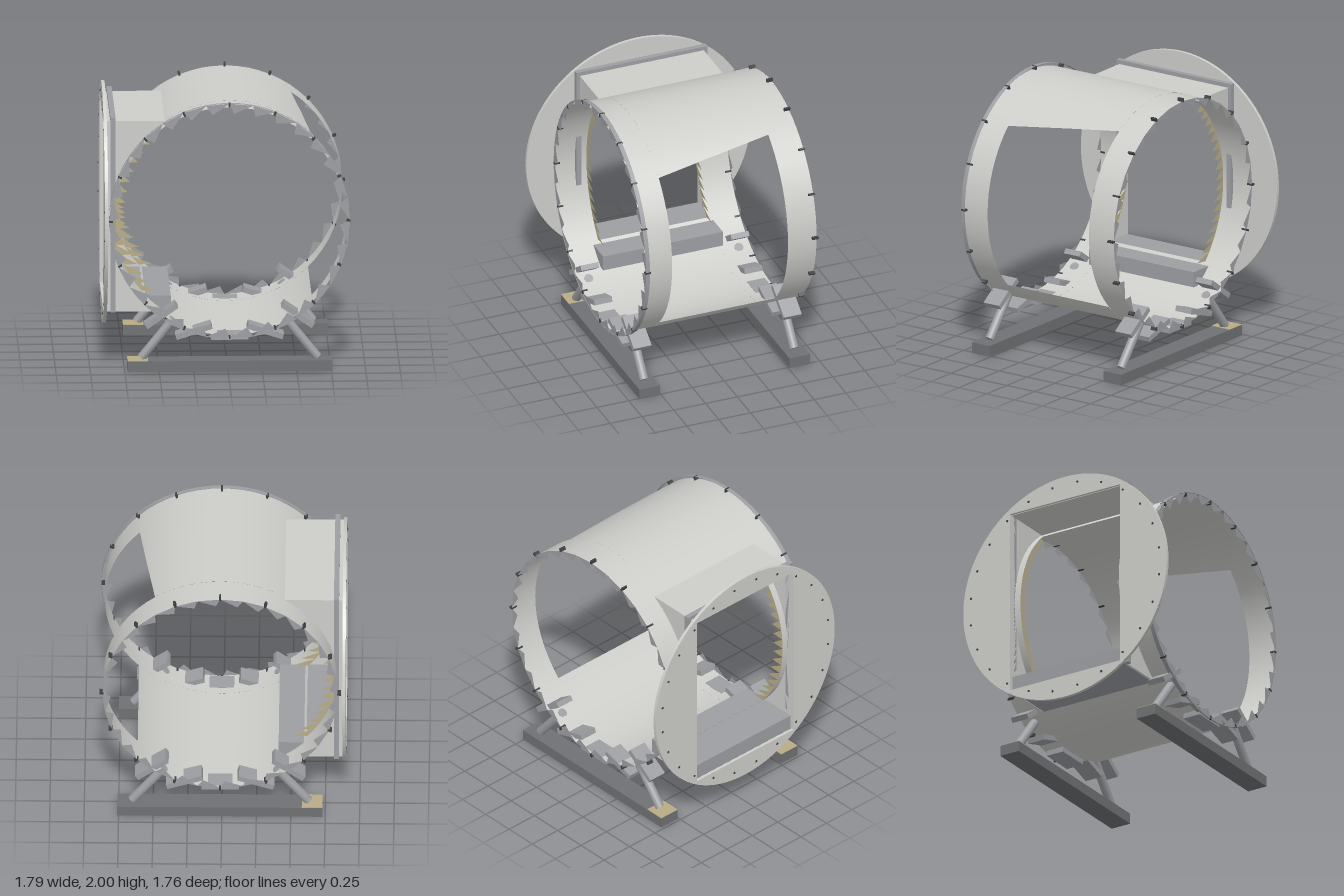
import * as THREE from 'three';

const CX = 0.012, CY = 1.12, R = 0.85; // drum axis and radius
const D = Math.PI / 180;
const mat = (name, color, side = THREE.FrontSide) => {
  const m = new THREE.MeshStandardMaterial({ color, side });
  m.name = name;
  return m;
};

export function createModel() {
  const root = new THREE.Group();
  const sheet = mat('lightSheet', 0xcdcdca, THREE.DoubleSide);
  const metal = mat('greyMetal', 0x9c9ea2, THREE.DoubleSide);
  const beamGrey = mat('darkBeam', 0x6e7073);
  const tan = mat('tanPrimer', 0xb8ac84, THREE.DoubleSide);
  const dark = mat('darkBolt', 0x404143);

  const add = (name, geo, material, parent = root) => {
    const m = new THREE.Mesh(geo, material);
    m.name = name;
    parent.add(m);
    return m;
  };
  const group = (name) => {
    const g = new THREE.Group();
    g.name = name;
    root.add(g);
    return g;
  };
  const box = (name, x0, x1, y0, y1, z0, z1, material, parent) => {
    const m = add(name, new THREE.BoxGeometry(x1 - x0, y1 - y0, z1 - z0), material, parent);
    m.position.set((x0 + x1) / 2, (y0 + y1) / 2, (z0 + z1) / 2);
    return m;
  };
  const at = (r, deg) => new THREE.Vector2(CX + r * Math.cos(deg * D), CY + r * Math.sin(deg * D));

  // Curved sheet between two angles; the end angle may vary with z
  const patch = (name, a0, a1, z0, z1, r, material, parent) => {
    const start = typeof a0 === 'function' ? a0 : () => a0;
    const g = new THREE.PlaneGeometry(1, 1, 64, 2);
    const p = g.attributes.position, n = g.attributes.normal;
    for (let i = 0; i < p.count; i++) {
      const z = z0 + (z1 - z0) * (0.5 - p.getY(i));
      const s = start(z);
      const a = a1 + (s - a1) * (p.getX(i) + 0.5);
      const v = at(r, a);
      p.setXYZ(i, v.x, v.y, z);
      n.setXYZ(i, Math.cos(a * D), Math.sin(a * D), 0);
    }
    // turn the faces outward
    const ix = g.index;
    for (let i = 0; i < ix.count; i += 3) {
      const b = ix.getX(i + 1);
      ix.setX(i + 1, ix.getX(i + 2));
      ix.setX(i + 2, b);
    }
    // keep winding and normals in agreement
    const q = [0, 1, 2].map(k => new THREE.Vector3().fromBufferAttribute(p, ix.getX(k)));
    const face = q[1].clone().sub(q[0]).cross(q[2].clone().sub(q[0]));
    if (face.dot(new THREE.Vector3().fromBufferAttribute(n, ix.getX(0))) < 0) {
      for (let i = 0; i < ix.count; i += 3) {
        const b = ix.getX(i + 1);
        ix.setX(i + 1, ix.getX(i + 2));
        ix.setX(i + 2, b);
      }
    }
    return add(name, g, material, parent);
  };

  // Drum shell, with a slanted window on the left and a duct opening on the right
  const drum = group('drumShell');
  const windowTop = z => 50.8 - 5.2 * z / 0.455;
  patch('frontBand', 0, 360, 0.455, 0.67, R, sheet, drum);
  patch('backBand', 0, 360, -0.68, -0.455, R, sheet, drum);
  patch('roof', windowTop, 130, -0.455, 0.455, R, sheet, drum);
  patch('floor', 222.6, 315, -0.455, 0.455, R, sheet, drum);
  patch('openingEdgeFront', 130, 222.6, 0.425, 0.455, R, sheet, drum);
  patch('openingEdgeBack', 130, 222.6, -0.455, -0.425, R, sheet, drum);

  // Thin front hoop
  patch('frontHoop', 0, 360, 0.64, 0.672, 0.876, metal);

  // Sawtooth tabs at both ends
  const teeth = (name, rOuter, rInner, z) => {
    const shapes = [];
    for (let i = 0; i < 32; i++) {
      const a = i * 11.25;
      shapes.push(new THREE.Shape([at(rOuter, a), at(rOuter, a + 11.25), at(rInner, a + 9)]));
    }
    add(name, new THREE.ShapeGeometry(shapes), metal).position.z = z;
  };
  teeth('frontTeeth', 0.876, 0.8, 0.67);
  teeth('backTeeth', 0.855, 0.795, -0.68);

  // Sixteen rim pins at each end
  const pins = group('rimPins');
  for (let i = 0; i < 16; i++) {
    const v = at(0.862, i * 22.5);
    for (const [z, len] of [[-0.662, 0.048], [0.654, 0.04]]) {
      const p = add('pin', new THREE.BoxGeometry(0.028, 0.014, len), dark, pins);
      p.position.set(v.x, v.y, z);
      p.rotation.z = i * 22.5 * D;
    }
  }

  // Rectangular duct joining drum and flange
  const duct = group('sideDuct');
  const y0 = 0.41, y1 = 1.83;
  const wall = new THREE.Shape([new THREE.Vector2(-0.88, y1), new THREE.Vector2(-0.88, y0)]);
  const lo = 180 + Math.asin((CY - y0) / R) / D, hi = 180 - Math.asin((y1 - CY) / R) / D;
  for (let i = 0; i <= 32; i++) {
    const v = at(R, lo + (hi - lo) * i / 32);
    wall.lineTo(v.x, v.y);
  }
  for (const z of [-0.487, 0.475]) {
    add('ductWall', new THREE.ExtrudeGeometry(wall, { depth: 0.012, bevelEnabled: false }), sheet, duct).position.z = z;
  }
  box('ductRoof', -0.88, -0.455, y1 - 0.014, y1, -0.485, 0.485, sheet, duct);
  box('ductFloor', -0.875, -0.41, y0, 0.525, -0.47, 0.47, metal, duct);

  // Tan tabs along the duct opening
  const tabs = [];
  for (let i = 0; i < 17; i++) {
    const a = 132 + i * 5.3;
    const b = at(R, a + 5.3);
    tabs.push(new THREE.Shape([at(R, a), b, new THREE.Vector2(b.x + 0.1, b.y + 0.005)]));
  }
  for (const z of [-0.425, 0.425]) add('openingTabs', new THREE.ShapeGeometry(tabs), tan, duct).position.z = z;

  // Plate in the x plane with a rectangular hole
  const holed = (name, shape, hz, hy0, hy1, x, depth, material) => {
    shape.holes.push(new THREE.Path([[-hz, hy0], [-hz, hy1], [hz, hy1], [hz, hy0]].map(c => new THREE.Vector2(...c))));
    const g = new THREE.ExtrudeGeometry(shape, { depth, bevelEnabled: false, curveSegments: 64 });
    add(name, g.rotateY(Math.PI / 2), material).position.x = x;
  };
  const disc = new THREE.Shape();
  disc.absarc(0, CY, 0.88, 0, Math.PI * 2);
  holed('roundFlange', disc, 0.475, y0, y1 - 0.01, -0.9, 0.024, sheet);
  const rect = new THREE.Shape([[-0.515, 0.41], [0.515, 0.41], [0.515, 1.86], [-0.515, 1.86]].map(c => new THREE.Vector2(...c)));
  holed('ductFrame', rect, 0.475, 0.425, y1 - 0.01, -0.85, 0.038, metal);

  // Flange bolts
  const bolts = group('flangeBolts');
  for (let i = 0; i < 24; i++) {
    const a = (i + 0.5) * 15 * D;
    const b = add('bolt', new THREE.CylinderGeometry(0.009, 0.009, 0.006, 8), dark, bolts);
    b.rotation.z = Math.PI / 2;
    b.position.set(-0.901, CY + 0.82 * Math.sin(a), 0.82 * Math.cos(a));
  }

  // Stands: beam, two struts and five cradle plates each
  for (const z of [0.59, -0.59]) {
    const stand = group(z > 0 ? 'frontStand' : 'backStand');
    box('beam', -0.73, 0.76, 0, 0.08, z - 0.08, z + 0.08, beamGrey, stand);
    box('beamPad', -0.73, -0.58, 0.08, 0.084, z - 0.08, z + 0.08, tan, stand);
    for (const s of [-1, 1]) {
      const from = new THREE.Vector3(CX + s * 0.64, 0.09, z);
      const to = new THREE.Vector3(CX + s * 0.405, 0.38, z);
      const dir = to.clone().sub(from);
      const strut = add('strut', new THREE.CylinderGeometry(0.033, 0.033, dir.length(), 20), metal, stand);
      strut.position.copy(from).add(to).multiplyScalar(0.5);
      strut.quaternion.setFromUnitVectors(new THREE.Vector3(0, 1, 0), dir.normalize());
    }
    for (const a of [-35, -17.5, 0, 17.5, 35]) {
      const plate = add('cradlePlate', new THREE.BoxGeometry(0.27, 0.04, 0.14), metal, stand);
      const v = at(0.865, a - 90);
      plate.position.set(v.x, v.y, z);
      plate.rotation.z = -a * D;
    }
  }
  return root;
}
